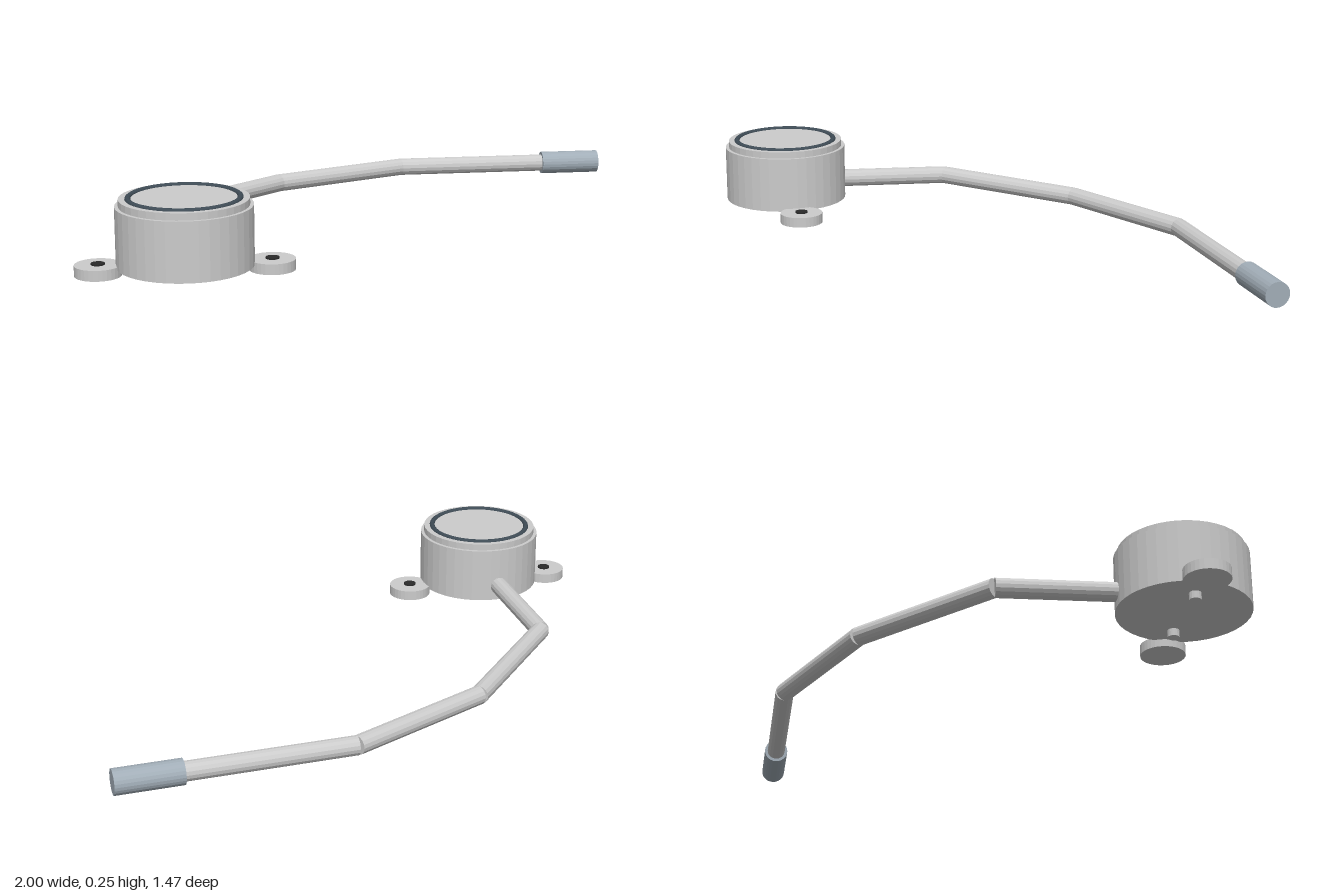
import * as THREE from 'three';

const grey = new THREE.MeshStandardMaterial({ color: 0xcccccc, flatShading: true });
const steel = new THREE.MeshStandardMaterial({ color: 0xa2aeb8, flatShading: true });
const rubber = new THREE.MeshStandardMaterial({ color: 0x3f4c56 });
const dark = new THREE.MeshStandardMaterial({ color: 0x2a2a2a });

export function createModel() {
  const model = new THREE.Group();

  // Upright cylinder between two heights
  const disc = (parent, name, r, y0, y1, x = 0, mat = grey, sides = 40) => {
    const mesh = new THREE.Mesh(new THREE.CylinderGeometry(r, r, y1 - y0, sides), mat);
    mesh.name = name;
    mesh.position.set(x, (y0 + y1) / 2, 0);
    parent.add(mesh);
  };

  // Cylinder between two points
  const rod = (name, a, b, r, mat, sides) => {
    const dir = b.clone().sub(a);
    const mesh = new THREE.Mesh(new THREE.CylinderGeometry(r, r, dir.length(), sides), mat);
    mesh.name = name;
    mesh.position.copy(a).add(b).multiplyScalar(0.5);
    mesh.quaternion.setFromUnitVectors(new THREE.Vector3(0, 1, 0), dir.normalize());
    model.add(mesh);
  };

  // Round housing with a stepped lid and a sealing ring
  const housing = new THREE.Group();
  housing.name = 'housing';
  housing.position.set(-0.65, 0, 0.515);
  model.add(housing);
  disc(housing, 'body', 0.219, 0.025, 0.22);
  disc(housing, 'lid', 0.207, 0.22, 0.243);
  const seal = new THREE.Mesh(new THREE.TorusGeometry(0.177, 0.01, 10, 48), rubber);
  seal.name = 'sealRing';
  seal.rotation.x = Math.PI / 2;
  seal.position.y = 0.241;
  housing.add(seal);

  // Mounting ears with screw holes, and small pins underneath
  for (const s of [-1, 1]) {
    disc(housing, 'mountingEar', 0.075, 0, 0.035, s * 0.275, grey, 32);
    disc(housing, 'screw', 0.022, 0.02, 0.04, s * 0.275, dark, 20);
    disc(housing, 'bottomPin', 0.02, 0, 0.03, s * 0.135, grey, 16);
  }

  // Cable made of straight segments
  const path = [
    [-0.65, 0.08, 0.32], [-0.65, 0.062, -0.093], [-0.265, 0.047, -0.482],
    [0.225, 0.046, -0.695], [0.8, 0.046, -0.695],
  ].map((p) => new THREE.Vector3(...p));
  for (let i = 0; i < path.length - 1; i++) rod('cableSegment', path[i], path[i + 1], 0.032, grey, 16);

  // Connector at the cable end
  rod('connector', new THREE.Vector3(0.78, 0.046, -0.695), new THREE.Vector3(1, 0.046, -0.695), 0.042, steel, 24);

  return model;
}
